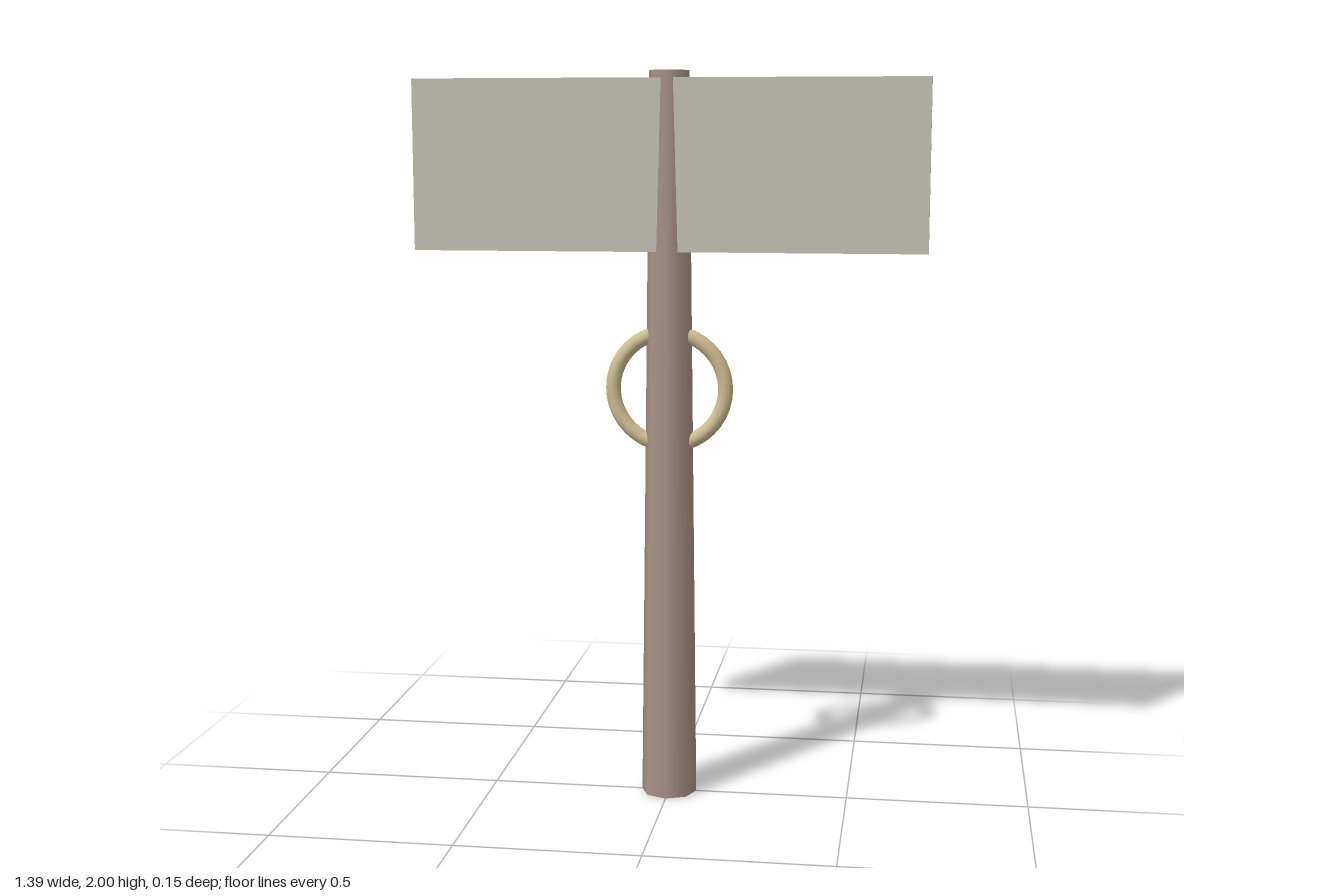
import * as THREE from 'three';

export function createModel() {
  const model = new THREE.Group();
  const postWood = new THREE.MeshStandardMaterial({ color: 0xa89286 });
  postWood.name = 'brown wood';
  const boardPaint = new THREE.MeshStandardMaterial({ color: 0xc4c0b2 });
  boardPaint.name = 'pale grey board';
  const ringMetal = new THREE.MeshStandardMaterial({ color: 0xcfbd92 });
  ringMetal.name = 'pale brass';

  function add(name, geometry, material, y) {
    const mesh = new THREE.Mesh(geometry, material);
    mesh.name = name;
    mesh.position.y = y;
    model.add(mesh);
  }

  // Tapered eight-sided post with smooth sides
  add('post', new THREE.CylinderGeometry(0.054, 0.077, 2, 8), postWood, 1);

  // Sign board; the post's front and back edges poke through it
  add('signBoard', new THREE.BoxGeometry(1.39, 0.46, 0.095), boardPaint, 1.75);

  // Ring passing through the post
  add('ring', new THREE.TorusGeometry(0.155, 0.0205, 12, 40), ringMetal, 1.145);

  return model;
}
